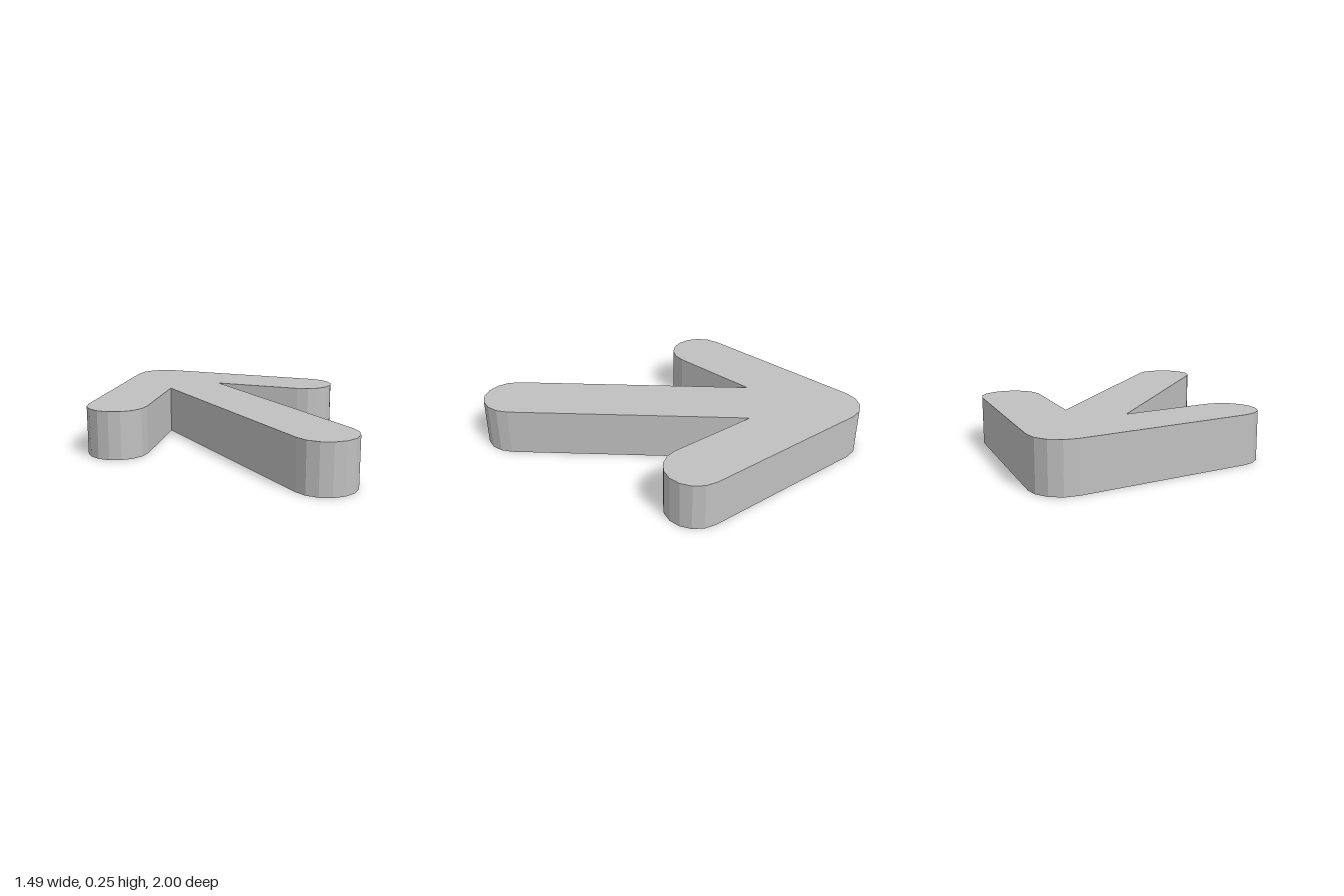
import * as THREE from 'three';

export function createModel() {
  const R = 0.157, HEIGHT = 0.25;
  const TAIL_Y = -0.843, TIP_Y = 0.843;   // centres of the rounded shaft ends
  const ARM_X = 0.587, ARM_Y = 0.147;     // centre of the rounded arm end

  // faceted arc of points, angles in radians
  const arc = (cx, cy, from, to, n) => Array.from({ length: n + 1 }, (_, i) => {
    const a = from + (to - from) * i / n;
    return new THREE.Vector2(cx + R * Math.cos(a), cy + R * Math.sin(a));
  });

  // inner corner, where the arm's lower edge meets the side of the shaft
  const slope = Math.atan2(ARM_Y - TIP_Y, ARM_X);
  const cornerY = TIP_Y + R * Math.tan(slope) - R / Math.cos(slope);

  // right half of the outline, from the tail counter-clockwise to the tip
  const half = [
    ...arc(0, TAIL_Y, -Math.PI / 2, 0, 4),
    new THREE.Vector2(R, cornerY),
    ...arc(ARM_X, ARM_Y, slope - Math.PI / 2, slope + Math.PI / 2, 8),
    ...arc(0, TIP_Y, slope + Math.PI / 2, Math.PI / 2, 2),
  ];
  // mirrored half, leaving out the shared points on the axis
  const mirrored = half.slice(1, -1).reverse().map((p) => new THREE.Vector2(-p.x, p.y));

  const geometry = new THREE.ExtrudeGeometry(
    new THREE.Shape([...half, ...mirrored]),
    { depth: HEIGHT, bevelEnabled: false },
  );
  geometry.rotateX(-Math.PI / 2); // lay flat, tip toward -z

  const grey = new THREE.MeshStandardMaterial({ color: 0xc0c0c0 });
  grey.name = 'grey';
  const arrow = new THREE.Mesh(geometry, grey);
  arrow.name = 'arrow';

  const group = new THREE.Group();
  group.name = 'roundedArrow';
  group.add(arrow);
  return group;
}
